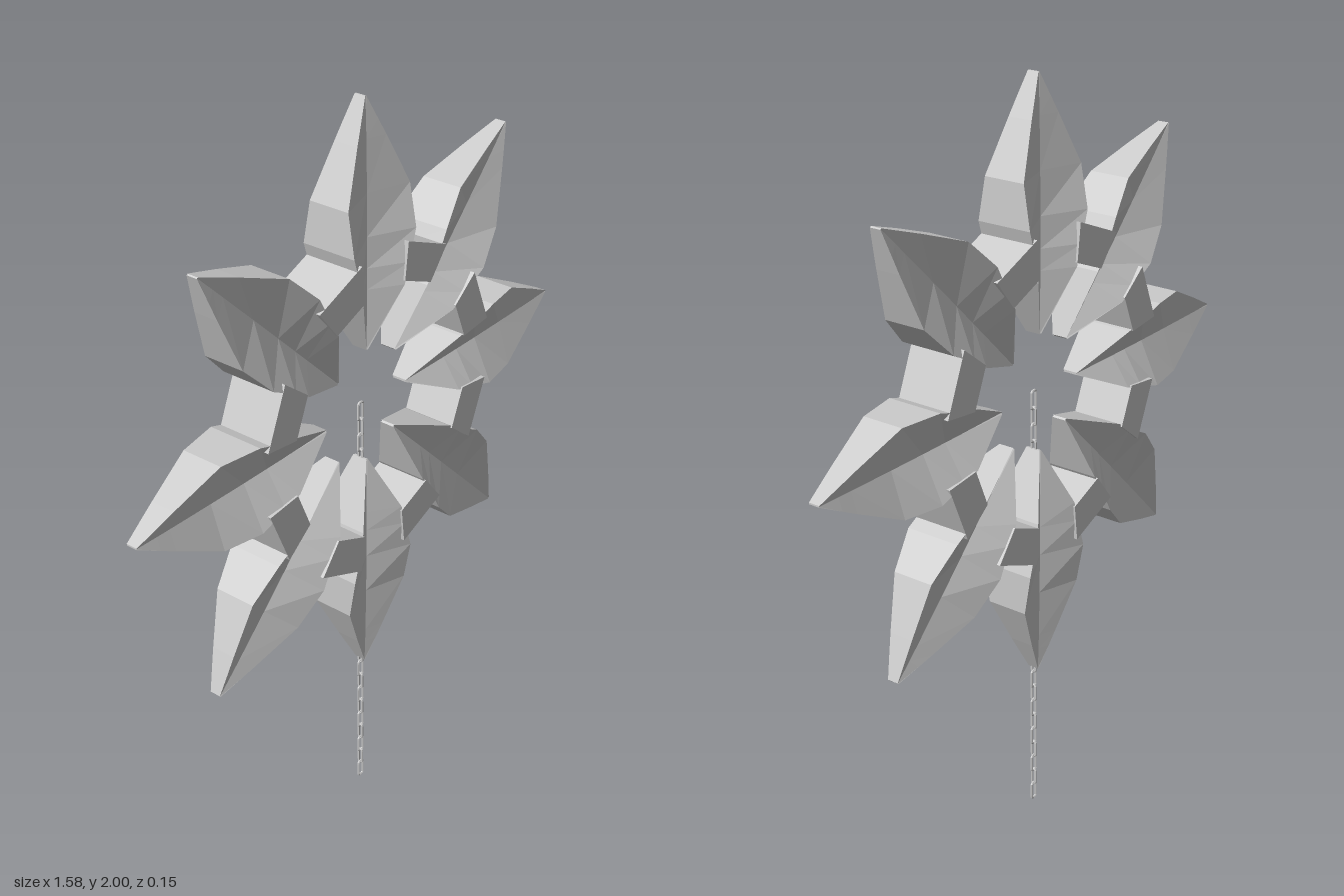
import * as THREE from 'three';

const CENTER_Y = 1.21;
const BLADES = 8;

const metal = new THREE.MeshStandardMaterial({ color: 0xcccccc, flatShading: true });

// Blade: rows of [radius, half width, half depth at edge, half depth at centre groove]
function bladeGeometry() {
  const rows = [
    [0.155, 0.003, 0.021, 0.018],
    [0.315, 0.078, 0.072, 0.02],
    [0.37, 0.09, 0.075, 0.02],
    [0.45, 0.115, 0.075, 0.02],
    [0.56, 0.113, 0.056, 0.019],
    [0.69, 0.052, 0.033, 0.017],
    [0.73, 0.032, 0.026, 0.016],
    [0.79, 0.002, 0.015, 0.014],
  ];
  const positions = [];
  const index = [];
  const n = 6;
  for (const [r, w, edge, mid] of rows) {
    positions.push(-w, r, edge, 0, r, mid, w, r, edge);
    positions.push(w, r, -edge, 0, r, -mid, -w, r, -edge);
  }
  for (let i = 0; i < rows.length - 1; i++) {
    for (let j = 0; j < n; j++) {
      const a = i * n + j;
      const b = i * n + (j + 1) % n;
      index.push(a, b, b + n, a, b + n, a + n);
    }
  }
  // Closed ends
  const last = (rows.length - 1) * n;
  for (let k = 2; k < n; k++) {
    const p = 1 + k - 1;
    const q = (1 + k) % n;
    index.push(1, q, p, last + 1, last + p, last + q);
  }
  const geometry = new THREE.BufferGeometry();
  geometry.setAttribute('position', new THREE.Float32BufferAttribute(positions, 3));
  geometry.setIndex(index);
  geometry.computeVertexNormals();
  return geometry;
}

// Ring segment: tapered block bridging two blades
function ringGeometry() {
  const depth = 0.15;
  const shape = new THREE.Shape([
    new THREE.Vector2(-0.055, 0.33),
    new THREE.Vector2(0.055, 0.33),
    new THREE.Vector2(0.082, 0.425),
    new THREE.Vector2(-0.082, 0.425),
  ]);
  const geometry = new THREE.ExtrudeGeometry(shape, { depth, bevelEnabled: false });
  return geometry.translate(0, 0, -depth / 2);
}

// Chain link: upright rounded loop of square-ish wire
function linkGeometry(length, halfWidth, wire) {
  const x = halfWidth - wire;
  const y = length / 2 - wire;
  const c = 0.004;
  const corners = [
    [x, y - c], [x - c, y], [c - x, y], [-x, y - c],
    [-x, c - y], [c - x, -y], [x - c, -y], [x, c - y],
  ].map(([px, py]) => new THREE.Vector3(px, py, 0));
  const path = new THREE.CatmullRomCurve3(corners, true, 'catmullrom', 0.1);
  return new THREE.TubeGeometry(path, 24, wire, 6, true);
}

export function createModel() {
  const model = new THREE.Group();
  model.name = 'starPendant';

  // Eight-pointed star
  const star = new THREE.Group();
  star.name = 'star';
  star.position.y = CENTER_Y;
  const blade = bladeGeometry();
  const segment = ringGeometry();
  for (let i = 0; i < BLADES; i++) {
    const angle = (i / BLADES) * Math.PI * 2;
    const bladeMesh = new THREE.Mesh(blade, metal);
    bladeMesh.name = 'blade';
    bladeMesh.rotation.z = angle;
    const ringMesh = new THREE.Mesh(segment, metal);
    ringMesh.name = 'ringSegment';
    ringMesh.rotation.z = angle + Math.PI / BLADES;
    star.add(bladeMesh, ringMesh);
  }
  model.add(star);

  // Chain hanging from the star's centre, links turned alternately
  const chain = new THREE.Group();
  chain.name = 'chain';
  const count = 27;
  const length = 0.055;
  const pitch = (1.215 - length) / (count - 1);
  const wide = linkGeometry(length, 0.012, 0.0032);
  const narrow = linkGeometry(length, 0.009, 0.0032);
  for (let i = 0; i < count; i++) {
    const turned = i % 2 === 1;
    const link = new THREE.Mesh(turned ? narrow : wide, metal);
    link.name = 'chainLink';
    link.position.y = length / 2 + i * pitch;
    link.rotation.y = turned ? Math.PI / 2 : 0;
    chain.add(link);
  }
  model.add(chain);

  return model;
}
